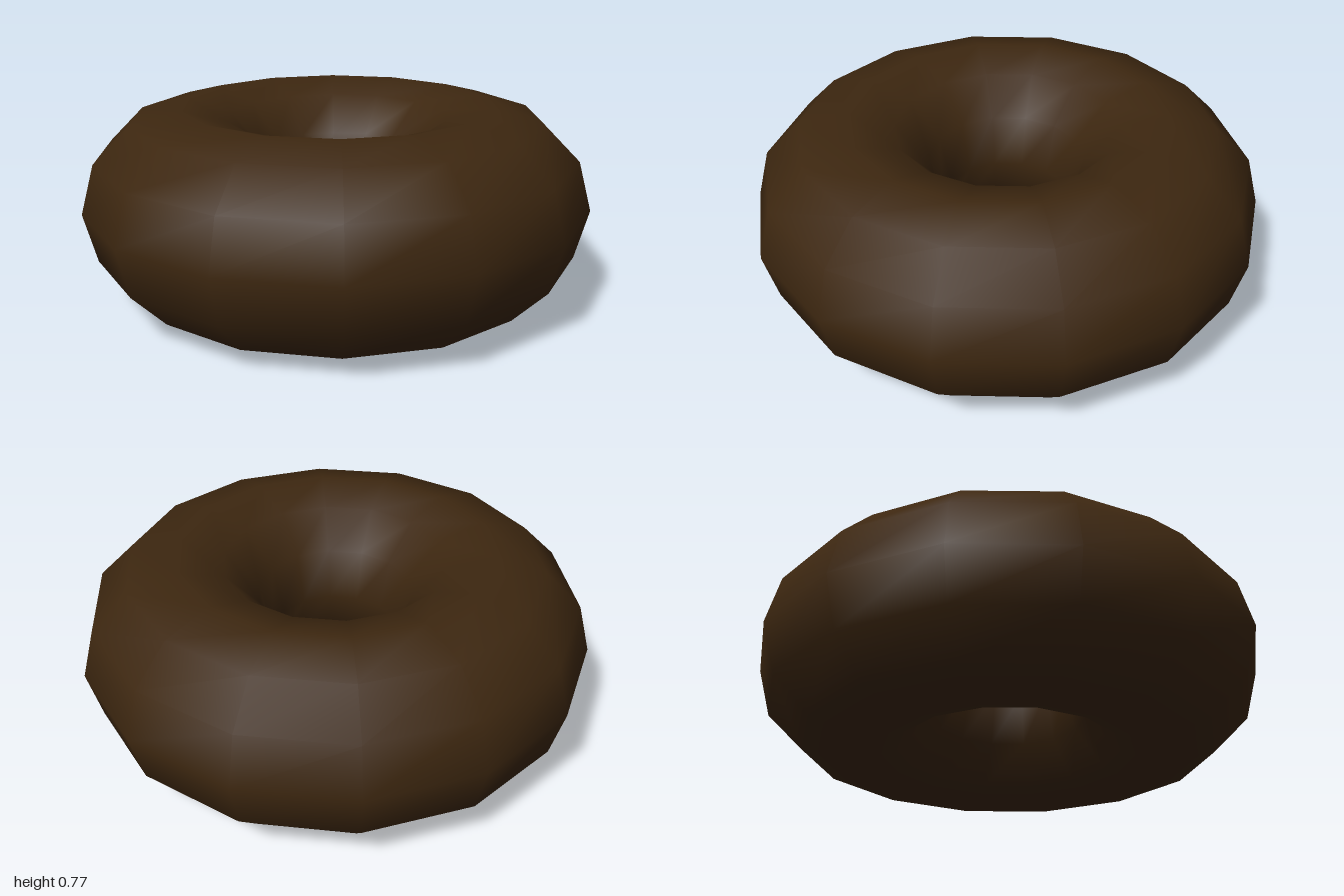
import * as THREE from 'three';

export function createModel() {
  const group = new THREE.Group();
  const brown = new THREE.MeshStandardMaterial({ color: 0x3d2710 });
  brown.name = 'dark brown';

  // Ring lying flat: 14 sides around, 12 sides across the tube
  const R = 0.615, r = 0.385;
  const geometry = new THREE.TorusGeometry(R, r, 12, 14);
  geometry.rotateX(-Math.PI / 2);

  // Flatten the inner half of the tube slightly to widen the hole
  const innerScale = 0.93;
  const pos = geometry.attributes.position;
  for (let i = 0; i < pos.count; i++) {
    const x = pos.getX(i), z = pos.getZ(i);
    const d = Math.hypot(x, z);
    if (d < R) {
      const k = (R - (R - d) * innerScale) / d;
      pos.setX(i, x * k);
      pos.setZ(i, z * k);
    }
  }
  geometry.translate(0, r, 0);

  const ring = new THREE.Mesh(geometry, brown);
  ring.name = 'ring';
  group.add(ring);
  return group;
}
